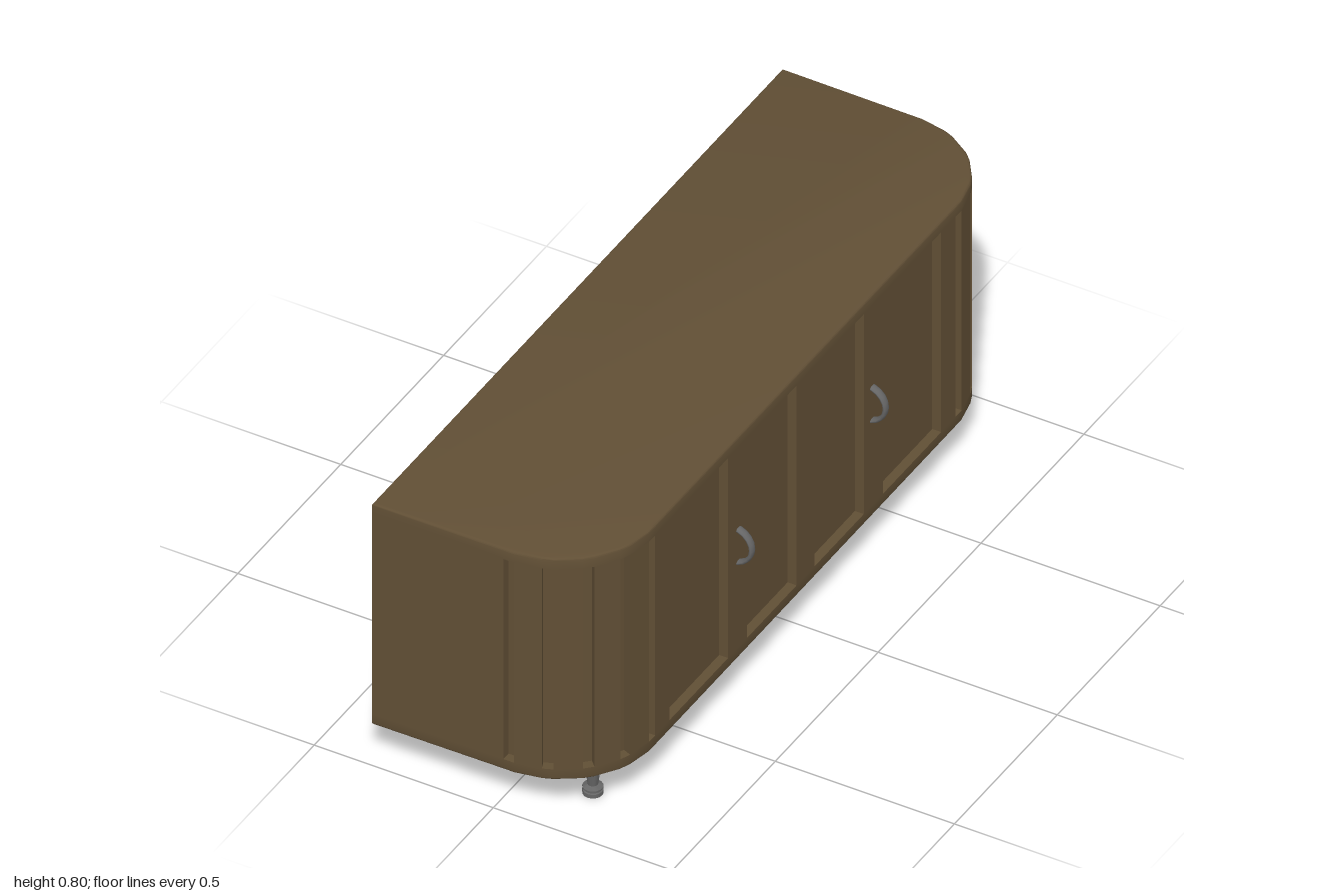
import * as THREE from 'three';
import { toCreasedNormals } from 'three/addons/utils/BufferGeometryUtils.js';

const wood = new THREE.MeshStandardMaterial({ color: 0x614f35 });
const metal = new THREE.MeshStandardMaterial({ color: 0x666666 });

const BACK = -0.34, FRONT = 0.297, BOTTOM = 0.123, TOP = 0.797;
const RECESS_LOW = 0.155, RECESS_HIGH = 0.765, DEPTH = 0.025;
const CORNER = { x: 0.04, z: 0.745, rx: FRONT - 0.04, rz: 0.25 };

// Half of the plan outline from the back corner round to the middle of the front.
function halfOutline(recessed) {
  const pts = [[BACK, 0.998]];
  const notch = (px, pz, nx, nz, half) => {
    // tangent runs from the side towards the front
    const tx = nz, tz = -nx;
    const a = [px - tx * half, pz - tz * half], b = [px + tx * half, pz + tz * half];
    pts.push(a);
    if (recessed) {
      pts.push([a[0] - nx * DEPTH, a[1] - nz * DEPTH], [b[0] - nx * DEPTH, b[1] - nz * DEPTH]);
    }
    pts.push(b);
  };
  // five narrow slots round the corner
  for (let i = 0; i <= 4; i++) {
    const a = (i * Math.PI) / 8, s = Math.sin(a), c = Math.cos(a);
    notch(CORNER.x + CORNER.rx * s, CORNER.z + CORNER.rz * c, s, c, 0.0145);
  }
  // two door panels
  for (const [z0, z1] of [[0.376, 0.66], [0.043, 0.284]]) {
    notch(FRONT, (z0 + z1) / 2, 1, 0, (z1 - z0) / 2);
  }
  return pts;
}

function planShape(recessed) {
  const half = halfOutline(recessed);
  const all = [...half, ...half.map(([x, z]) => [x, -z]).reverse()];
  return new THREE.Shape(all.map(([x, z]) => new THREE.Vector2(x, z)));
}

function addMesh(parent, name, geometry, material) {
  const mesh = new THREE.Mesh(geometry, material);
  mesh.name = name;
  parent.add(mesh);
  return mesh;
}

// Slab softened on its outer edge only: bevel both ends, then flatten the inner end.
function slab(y0, y1, roundTop) {
  const b = 0.006, extra = 0.02;
  const low = roundTop ? y0 - extra : y0, high = roundTop ? y1 : y1 + extra;
  const g = new THREE.ExtrudeGeometry(planShape(false), {
    depth: high - low - 2 * b, bevelEnabled: true, bevelThickness: b,
    bevelSize: b, bevelOffset: -b, bevelSegments: 3,
  });
  g.rotateX(-Math.PI / 2).translate(0, low + b, 0);
  const p = g.attributes.position;
  for (let i = 0; i < p.count; i++) p.setY(i, THREE.MathUtils.clamp(p.getY(i), y0, y1));
  return toCreasedNormals(g, 0.55);
}

function createCabinet() {
  const cabinet = new THREE.Group();
  cabinet.name = 'cabinet';
  const core = new THREE.ExtrudeGeometry(planShape(true), {
    depth: RECESS_HIGH - RECESS_LOW, bevelEnabled: false,
  });
  core.rotateX(-Math.PI / 2).translate(0, RECESS_LOW, 0);
  addMesh(cabinet, 'recessedBody', toCreasedNormals(core, 0.55), wood);
  addMesh(cabinet, 'basePanel', slab(BOTTOM, RECESS_LOW, false), wood);
  addMesh(cabinet, 'topPanel', slab(RECESS_HIGH, TOP, true), wood);
  return cabinet;
}

export function createModel() {
  const model = new THREE.Group();
  model.name = 'sideboard';
  model.add(createCabinet());

  // curved door handles
  const handleGeo = new THREE.TorusGeometry(0.052, 0.006, 10, 10, Math.PI);
  handleGeo.rotateZ(-Math.PI / 2).scale(1, 1, 2);
  for (const z of [-0.325, 0.325]) {
    addMesh(model, 'doorHandle', handleGeo, metal).position.set(0.283, 0.465, z);
  }

  // tapered legs with a collar and a round foot
  const profile = [
    [0, 0], [0.026, 0], [0.026, 0.011], [0.023, 0.013], [0.023, 0.015],
    [0.026, 0.017], [0.026, 0.021], [0.013, 0.027], [0.026, BOTTOM + 0.002],
  ].map(([r, y]) => new THREE.Vector2(r, y));
  const legGeo = toCreasedNormals(new THREE.LatheGeometry(profile, 16), 0.5);
  for (const x of [-0.226, 0.178]) {
    for (const z of [-0.826, 0.826]) {
      addMesh(model, 'leg', legGeo, metal).position.set(x, 0, z);
    }
  }
  return model;
}
